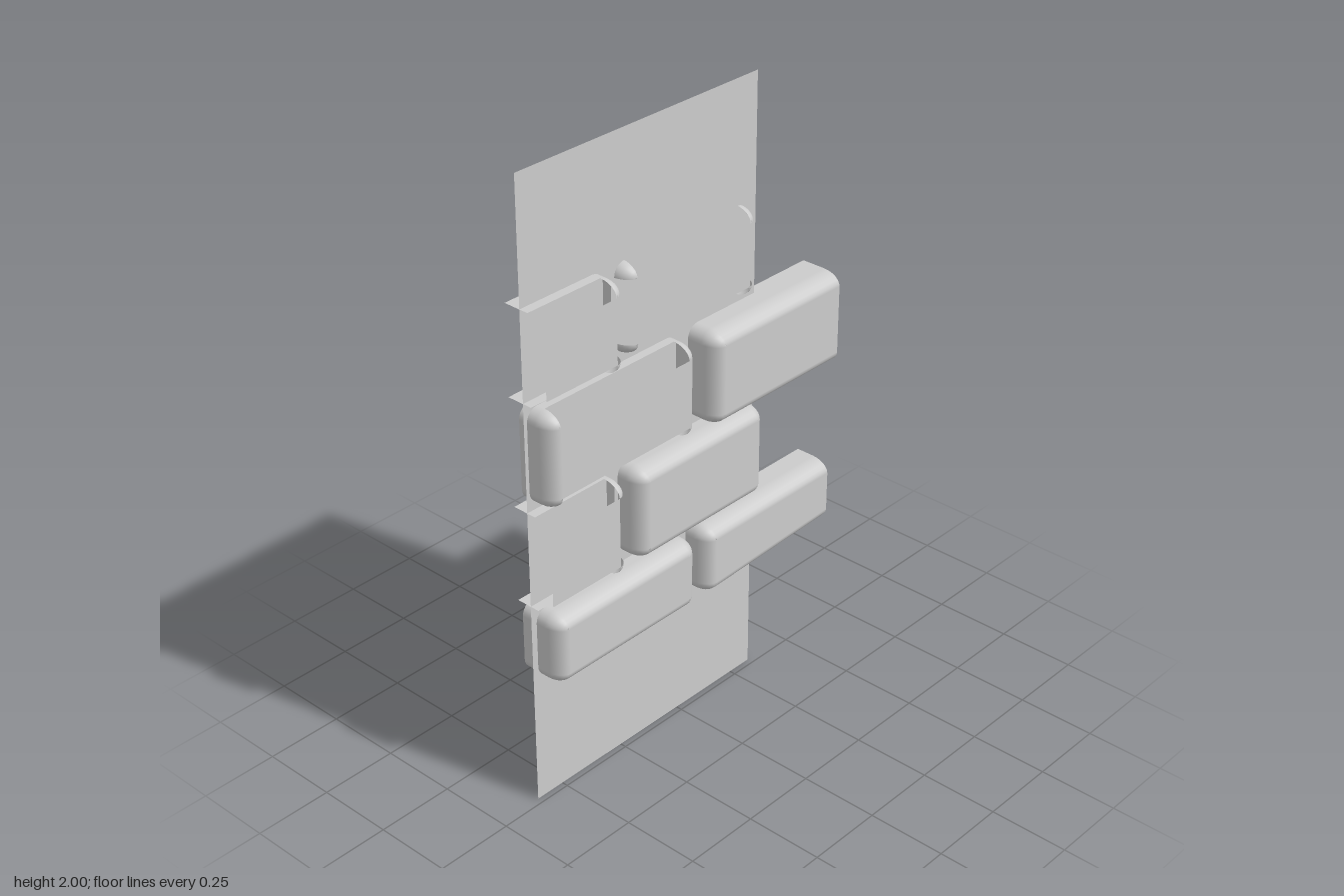
import * as THREE from 'three';
import { ParametricGeometry } from 'three/addons/geometries/ParametricGeometry.js';

const material = new THREE.MeshStandardMaterial({ color: 0xcccccc, side: THREE.DoubleSide });
const R = 0.04; // rounding seen from the front
const D = 0.06; // depth of the rounding
const lerp = THREE.MathUtils.lerp;

function addPatch(group, name, fn, nu, nv) {
  const mesh = new THREE.Mesh(new ParametricGeometry(fn, nu, nv), material);
  mesh.name = name;
  group.add(mesh);
}

// Hollow brick shell, open at the back. Sides: 0 right, 1 top, 2 left, 3 bottom.
// open: sides cut off; noBevel / noWall: sides lacking that strip; lift raises the bottom right end.
function brick({ name, x: [x0, x1], y: [y0, y1], z: [zb, zf], open = [], noBevel = [], noWall = [], lift = 0 }) {
  const group = new THREE.Group();
  group.name = name;
  const right = open.includes(0) ? x1 : x1 - R;
  const left = open.includes(2) ? x0 : x0 + R;
  const zc = zf - D;
  // corner centres, counter-clockwise from bottom right
  const c = [[right, y0 + R + lift], [right, y1 - R], [left, y1 - R], [left, y0 + R]];

  // perimeter strip between two centres, turning from angle a0 to a1
  const strip = (p, q, a0, a1, bevel) => (u, v, target) => {
    const a = lerp(a0, a1, u);
    const t = bevel ? v * Math.PI / 2 : 0;
    const r = R * Math.cos(t);
    target.set(
      lerp(p[0], q[0], u) + r * Math.cos(a),
      lerp(p[1], q[1], u) + r * Math.sin(a),
      bevel ? zc + D * Math.sin(t) : lerp(zb, zc, v));
  };

  for (let i = 0; i < 4; i++) {
    const next = (i + 1) % 4;
    const a = i * Math.PI / 2;
    const p = c[i], q = c[next];
    if (!open.includes(i)) {
      if (!noWall.includes(i)) addPatch(group, 'sideWall', strip(p, q, a, a, false), 1, 1);
      if (!noBevel.includes(i)) addPatch(group, 'roundedEdge', strip(p, q, a, a, true), 1, 6);
    }
    // rounded corner between this side and the next
    if (!open.includes(i) && !open.includes(next)) {
      addPatch(group, 'cornerWall', strip(q, q, a, a + Math.PI / 2, false), 6, 1);
      addPatch(group, 'roundedCorner', strip(q, q, a, a + Math.PI / 2, true), 6, 6);
    }
  }

  // flat front face
  addPatch(group, 'frontFace', (u, v, target) => target.set(
    lerp(left, right, u),
    lerp(lerp(c[3][1], c[0][1], u), y1 - R, v),
    zf), 1, 1);
  return group;
}

export function createModel() {
  const model = new THREE.Group();
  model.name = 'brickWallSection';

  // mortar sheet
  const sheet = new THREE.Mesh(new THREE.PlaneGeometry(0.935, 2), material);
  sheet.name = 'mortarSheet';
  sheet.position.set(-0.1325, 1, -0.02);
  model.add(sheet);

  const all = [0, 1, 2, 3];
  const bricks = [
    // bottom course
    { name: 'bottomCourseBrick', x: [-0.58, 0], y: [0.425, 0.655], z: [-0.075, 0.07] },
    { name: 'bottomCourseEndBrick', x: [0.04, 0.595], y: [0.425, 0.655], z: [-0.05, 0.07], open: [0], noWall: [3], lift: 0.02 },
    // second course
    { name: 'secondCourseHalfBrick', x: [-0.6, -0.29], y: [0.682, 0.99], z: [-0.07, 0.07], open: [2], noBevel: all },
    { name: 'secondCourseBrick', x: [-0.245, 0.295], y: [0.685, 0.985], z: [-0.05, 0.07] },
    // third course
    { name: 'thirdCourseBrick', x: [-0.588, 0], y: [1.01, 1.308], z: [-0.05, 0.068], noBevel: [1, 3] },
    { name: 'thirdCourseEndBrick', x: [0.05, 0.595], y: [1.01, 1.31], z: [-0.05, 0.09], open: [0] },
    // top course
    { name: 'topCourseHalfBrick', x: [-0.6, -0.29], y: [1.333, 1.615], z: [-0.075, 0.07], open: [2], noBevel: all },
    { name: 'topCourseBrick', x: [-0.247, 0.297], y: [1.335, 1.615], z: [-0.09, 0.03], noBevel: all },
  ];
  for (const b of bricks) model.add(brick(b));
  return model;
}
